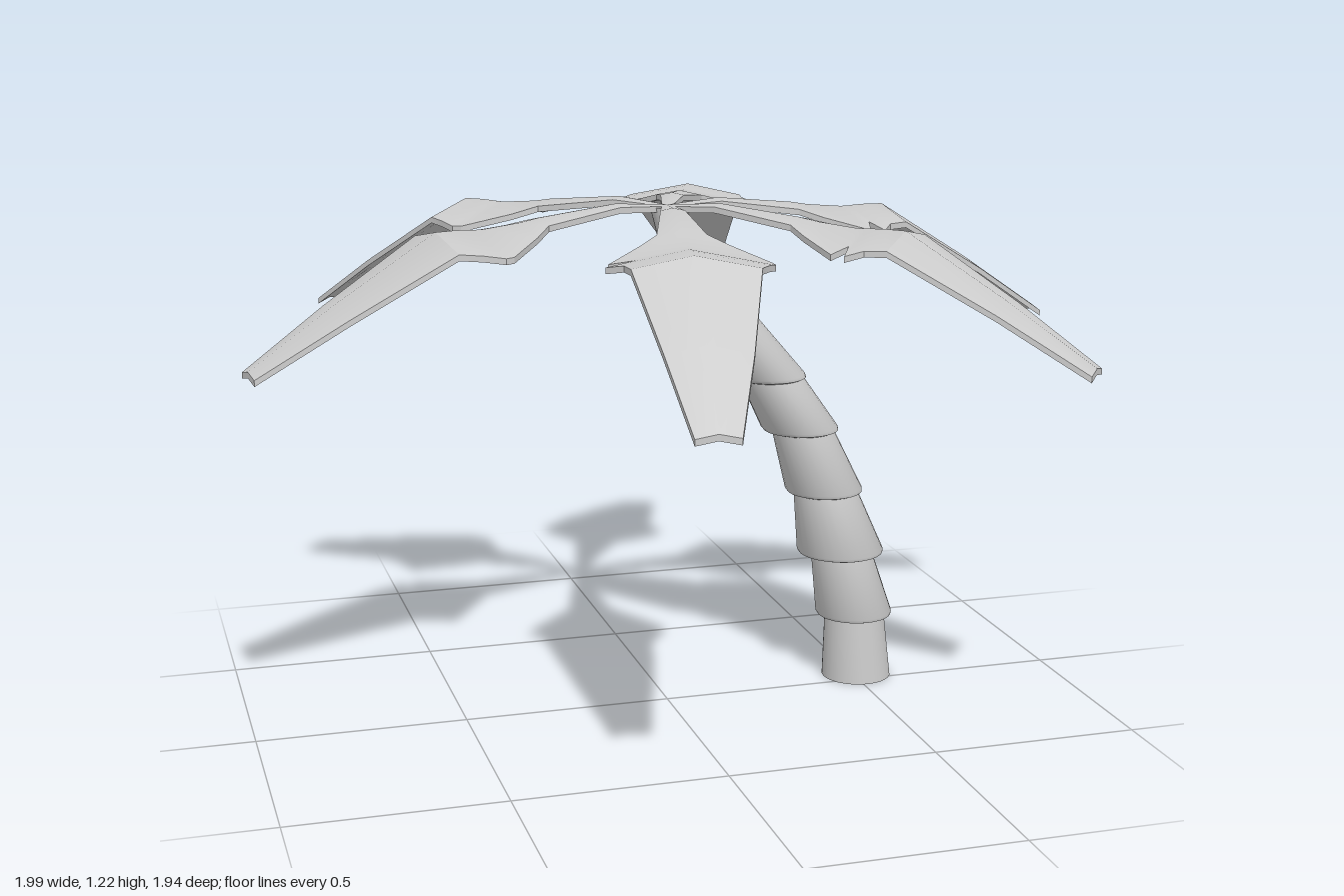
import * as THREE from 'three';
import { toCreasedNormals } from 'three/addons/utils/BufferGeometryUtils.js';

const material = new THREE.MeshStandardMaterial({ color: 0xcccccc });
const CROWN = { x: 0.012, z: -0.045 };

// Trunk joints: centre x, height, flared lower radius, narrow upper radius
const JOINTS = [
  [0.51, 0, 0.086, 0.074],
  [0.502, 0.16, 0.095, 0.075],
  [0.463, 0.325, 0.107, 0.078],
  [0.418, 0.485, 0.095, 0.075],
  [0.355, 0.645, 0.094, 0.078],
  [0.27, 0.782, 0.094, 0.075],
  [0.11, 0.985, 0.078, 0.04],
  [0.012, 1.2, 0, 0],
];

// One flared ring with a bevelled lower lip, sheared towards the next joint
function trunkSegment(i) {
  const [x, y, r, rTop] = JOINTS[i];
  const [nx, ny] = JOINTS[i + 1];
  const h = ny - y + 0.008;
  const lip = i === 0
    ? [[0, 0], [r, 0]]
    : [[0, 0], [r - 0.014, 0], [r - 0.003, 0.004], [r, 0.012]];
  const profile = [...lip, [rTop, h], [0, h]].map(([a, b]) => new THREE.Vector2(a, b));
  const geometry = new THREE.LatheGeometry(profile, 28);
  const pos = geometry.attributes.position;
  for (let k = 0; k < pos.count; k++) {
    pos.setX(k, pos.getX(k) + (nx - x) * pos.getY(k) / h);
  }
  const mesh = new THREE.Mesh(toCreasedNormals(geometry, 0.7), material);
  mesh.position.set(x, y, CROWN.z);
  mesh.name = 'trunkSegment';
  return mesh;
}

// Frond sections: distance along, left width, right width, ridge height
const SECTIONS = [
  [0, 0.012, 0.012, 1.212],
  [0.13, 0.028, 0.028, 1.223],
  [0.32, 0.056, 0.055, 1.203],
  [0.365, 0.1, 0.095, 1.195],
  [0.455, 0.182, 0.172, 1.186],
  [0.476, 0.187, 0.115, 1.186], // split in the right edge
  [0.488, 0.182, 0.18, 1.187],
  [0.52, 0.166, 0.143, 1.188],
  [0.567, 0.145, 0.133, 1.187],
  [0.8, 0.097, 0.087, 1.045],
  [1, 0.047, 0.047, 0.912],
];

// Thin leaf with a raised midrib, lofted from six-cornered sections
function frondGeometry() {
  const thickness = 0.014;
  const points = [];
  for (const [u, left, right, y] of SECTIONS) {
    const yl = y - left * 0.2, yr = y - right * 0.2;
    points.push(
      [u, yl, -left], [u, y, 0], [u, yr, right],
      [u, yr - thickness, right], [u, y - thickness, 0], [u, yl - thickness, -left],
    );
  }
  const index = [];
  for (let s = 0; s < SECTIONS.length - 1; s++) {
    for (let k = 0; k < 6; k++) {
      const a = s * 6 + k, b = s * 6 + (k + 1) % 6;
      index.push(a, b, b + 6, a, b + 6, a + 6);
    }
  }
  // End caps
  const e = (SECTIONS.length - 1) * 6;
  for (const [a, b, c, d] of [[0, 1, 4, 5], [1, 2, 3, 4]]) {
    index.push(a, c, b, a, d, c);
    index.push(e + a, e + b, e + c, e + a, e + c, e + d);
  }
  const geometry = new THREE.BufferGeometry();
  geometry.setAttribute('position', new THREE.Float32BufferAttribute(points.flat(), 3));
  geometry.setIndex(index);
  return toCreasedNormals(geometry, 0.5);
}

// Heading in degrees and reach of each frond
const FRONDS = [
  [4.8, 0.983], [68.4, 0.984], [133.7, 1.013],
  [190.5, 1.018], [259.6, 1.012], [320, 1.03],
];

export function createModel() {
  const model = new THREE.Group();
  model.name = 'palmTree';

  const trunk = new THREE.Group();
  trunk.name = 'trunk';
  for (let i = 0; i < JOINTS.length - 1; i++) trunk.add(trunkSegment(i));

  const crown = new THREE.Group();
  crown.name = 'crown';
  crown.position.set(CROWN.x, 0, CROWN.z);
  const leaf = frondGeometry();
  for (const [degrees, reach] of FRONDS) {
    const frond = new THREE.Mesh(leaf, material);
    frond.name = 'frond';
    frond.rotation.y = THREE.MathUtils.degToRad(degrees);
    frond.scale.x = reach;
    crown.add(frond);
  }

  model.add(trunk, crown);
  return model;
}
